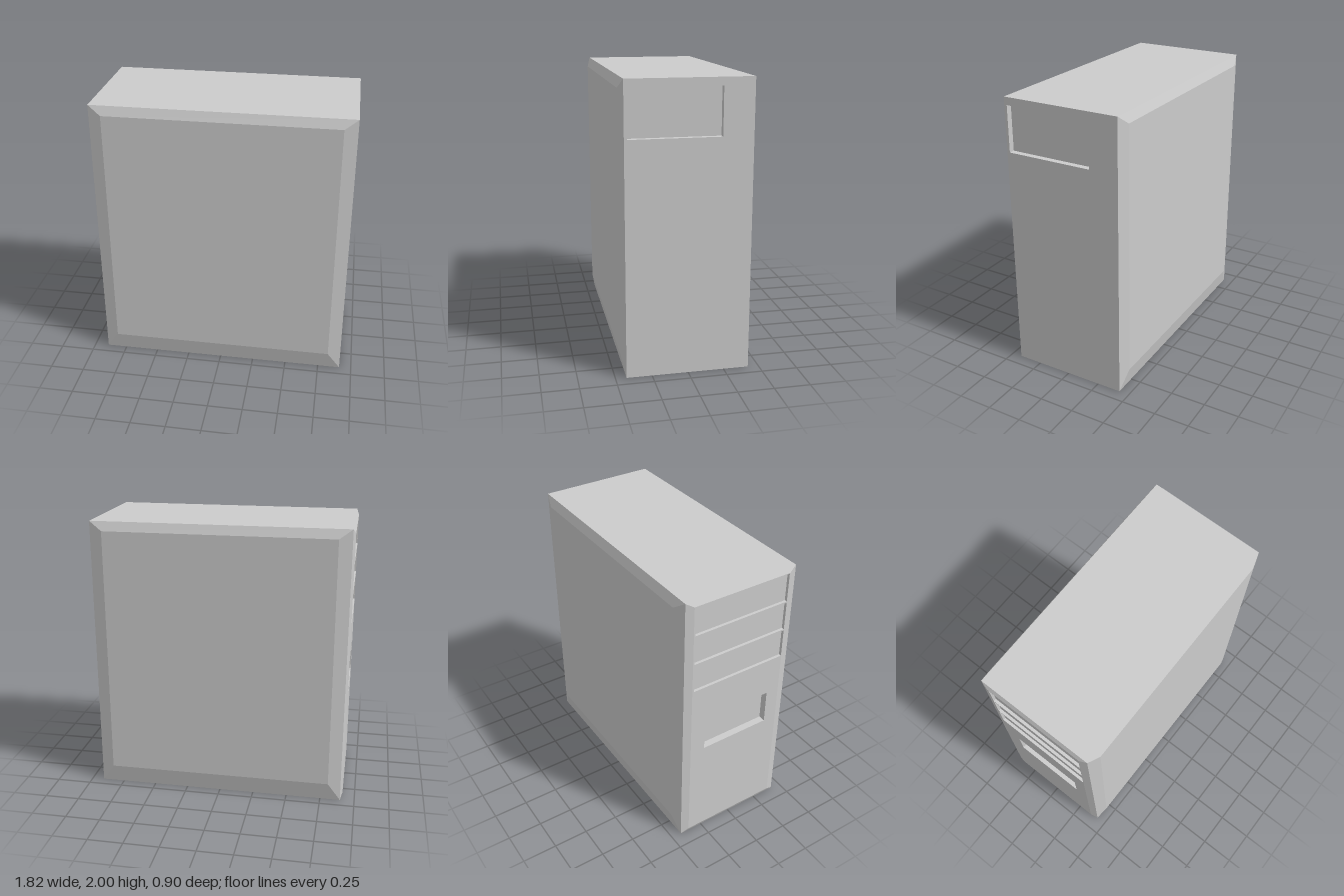
import * as THREE from 'three';

const material = new THREE.MeshStandardMaterial({ color: 0xcccccc, flatShading: true });

// Rectangles are [left, right, bottom, top] in the plane of a face
const corners = ([l, r, b, t]) => [[l, b], [r, b], [r, t], [l, t]];

function mesh(name, geometry) {
  const m = new THREE.Mesh(geometry, material);
  m.name = name;
  return m;
}

// Four quads joining rectangle a at depth za to rectangle b at depth zb
function ring(a, za, b, zb) {
  const A = corners(a), B = corners(b), pos = [];
  for (let i = 0; i < 4; i++) {
    const j = (i + 1) % 4;
    const p = [...A[i], za], q = [...A[j], za], r = [...B[j], zb], s = [...B[i], zb];
    pos.push(...p, ...q, ...r, ...p, ...r, ...s);
  }
  const g = new THREE.BufferGeometry();
  g.setAttribute('position', new THREE.Float32BufferAttribute(pos, 3));
  g.computeVertexNormals();
  return g;
}

// Flat sheet with rectangular openings
function sheet(rect, z, holes = []) {
  const points = (r) => corners(r).map(([x, y]) => new THREE.Vector2(x, y));
  const shape = new THREE.Shape(points(rect));
  shape.holes = holes.map((h) => new THREE.Path(points(h)));
  return new THREE.ShapeGeometry(shape).translate(0, 0, z);
}

// One side of the case: bevelled rim, raised panel and sunken recesses
function casePanel({ name, turn, rim, rimZ, panel, panelZ, recesses = [] }) {
  const group = new THREE.Group();
  group.name = name;
  if (panel !== rim) group.add(mesh(name + 'Bevel', ring(rim, rimZ, panel, panelZ)));
  group.add(mesh(name + 'Sheet', sheet(panel, panelZ, recesses.map((r) => r.rect))));
  for (const { label, rect, depth } of recesses) {
    group.add(mesh(label + 'Walls', ring(rect, panelZ, rect, panelZ - depth)));
    group.add(mesh(label + 'Back', sheet(rect, panelZ - depth)));
  }
  group.rotation.y = turn;
  return group;
}

export function createModel() {
  const model = new THREE.Group();
  model.name = 'computerTower';
  const x0 = -0.896, x1 = 0.912, zRim = 0.425, H = 2;
  const endRim = [-zRim, zRim, 0, H];

  // Two large bevelled covers
  model.add(casePanel({
    name: 'frontCover', turn: 0, rim: [x0, x1, 0, H], rimZ: zRim,
    panel: [-0.805, 0.82, 0.135, 1.935], panelZ: 0.452,
  }));
  model.add(casePanel({
    name: 'backCover', turn: Math.PI, rim: [-x1, -x0, 0, H], rimZ: zRim,
    panel: [-0.82, 0.805, 0.135, 1.935], panelZ: 0.452,
  }));

  // Bevelled end with three drive bays and a smaller slot below
  const bays = [];
  for (let i = 0; i < 3; i++) {
    const bottom = 1.752 - i * 0.218;
    bays.push({ label: 'driveBay' + (i + 1), rect: [-0.357, 0.365, bottom, bottom + 0.208], depth: 0.02 });
  }
  bays.push({ label: 'lowerSlot', rect: [-0.256, 0.268, 0.78, 1.033], depth: 0.05 });
  model.add(casePanel({
    name: 'driveEnd', turn: -Math.PI / 2, rim: endRim, rimZ: -x0,
    panel: [-0.368, 0.368, 0.035, 1.965], panelZ: 0.912, recesses: bays,
  }));

  // Flat end with a socket recess near the top
  model.add(casePanel({
    name: 'socketEnd', turn: Math.PI / 2, rim: endRim, rimZ: x1, panel: endRim, panelZ: x1,
    recesses: [{ label: 'socketRecess', rect: [-0.405, 0.217, 1.62, 1.945], depth: 0.042 }],
  }));

  // Top and bottom sheets
  for (const [name, y, sign] of [['top', H, -1], ['bottom', 0, 1]]) {
    const g = new THREE.PlaneGeometry(x1 - x0, 2 * zRim).rotateX(sign * Math.PI / 2);
    model.add(mesh(name, g.translate((x0 + x1) / 2, y, 0)));
  }
  return model;
}
